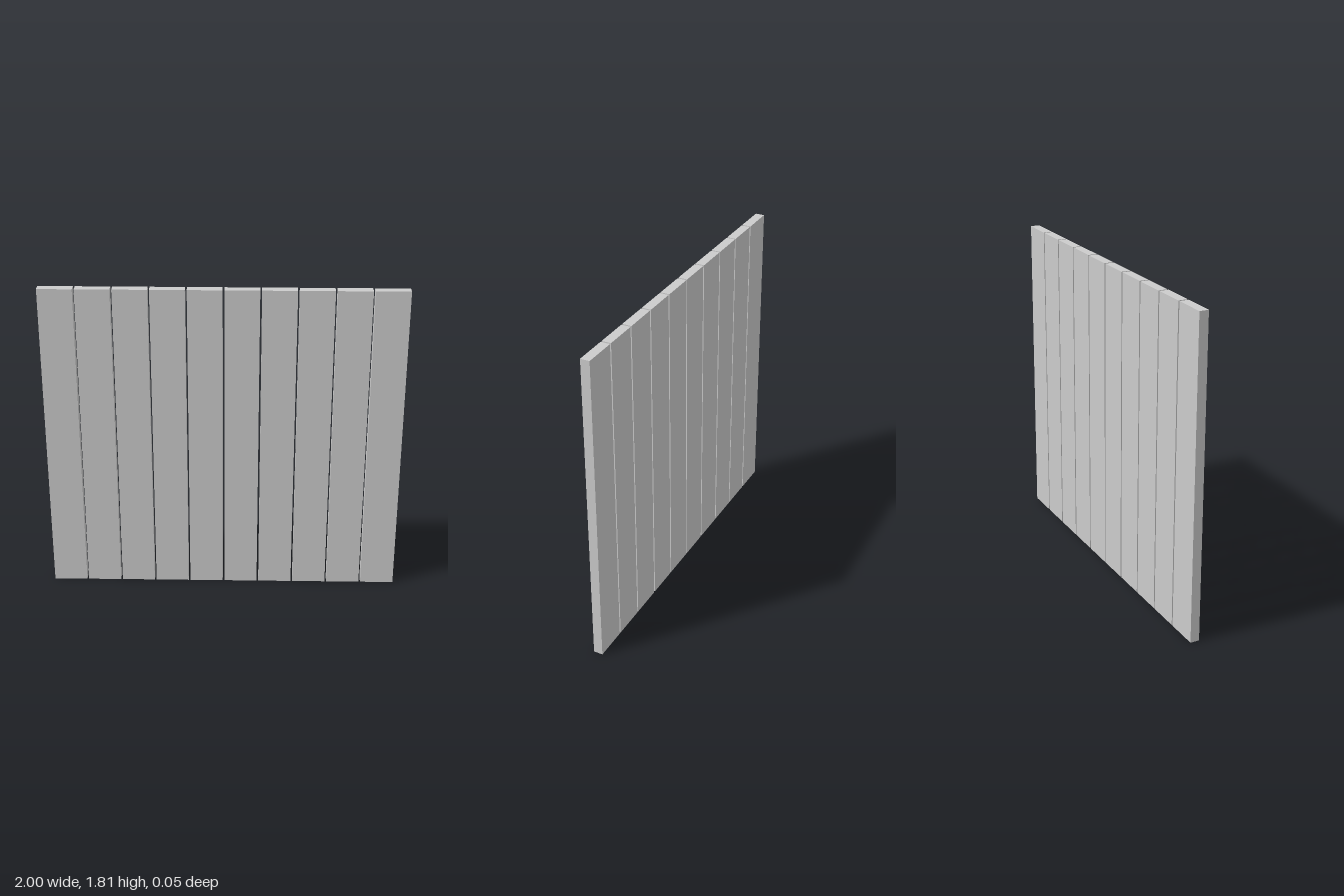
import * as THREE from 'three';

const COUNT = 10;
const GAP = 0.01;
const HEIGHT = 1.806;
const THICKNESS = 0.052;
const WIDTH = (2 - GAP * (COUNT - 1)) / COUNT;

export function createModel() {
  const model = new THREE.Group();
  model.name = 'plankPanel';
  const material = new THREE.MeshStandardMaterial({ color: 0xcccccc });
  const geometry = new THREE.BoxGeometry(WIDTH, HEIGHT, THICKNESS);

  // Row of upright planks separated by narrow open gaps
  for (let i = 0; i < COUNT; i++) {
    const plank = new THREE.Mesh(geometry, material);
    plank.name = `plank${i + 1}`;
    plank.position.set(-1 + WIDTH / 2 + i * (WIDTH + GAP), HEIGHT / 2, 0);
    model.add(plank);
  }
  return model;
}
